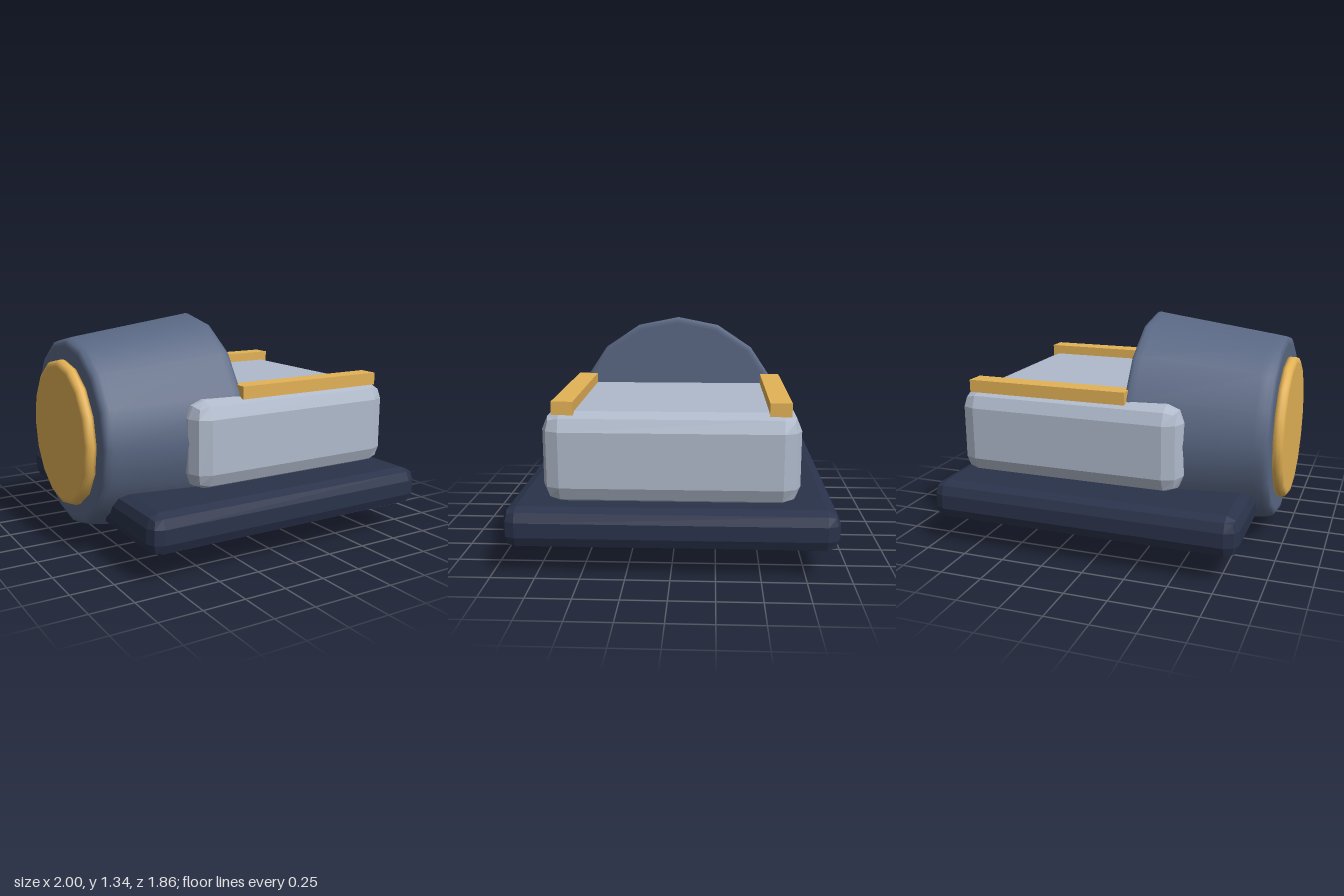
import * as THREE from 'three';
import { RoundedBoxGeometry } from 'three/addons/geometries/RoundedBoxGeometry.js';

const DRUM_Y = 0.67;

function addMesh(group, name, geometry, color, x, y, z, flat = true) {
  const material = new THREE.MeshStandardMaterial({ color, flatShading: flat });
  const mesh = new THREE.Mesh(geometry, material);
  mesh.name = name;
  mesh.position.set(x, y, z);
  group.add(mesh);
  return mesh;
}

// Sixteen-sided turned part lying along x; profile is [radius, x] from left to right
function addTurned(group, name, profile, color) {
  const points = profile.map(([r, x]) => new THREE.Vector2(r, x));
  const mesh = addMesh(group, name, new THREE.LatheGeometry(points, 16), color, 0, DRUM_Y, 0, false);
  mesh.rotation.z = -Math.PI / 2;
}

export function createModel() {
  const model = new THREE.Group();
  model.name = 'model';

  // Bevelled base plate and housing
  addMesh(model, 'basePlate', new RoundedBoxGeometry(1.86, 0.235, 1.86, 1, 0.075), 0x2a334b, 0.07, 0.277, 0);
  addMesh(model, 'housing', new RoundedBoxGeometry(1.385, 0.515, 1.43, 1, 0.1), 0xb0bacb, 0.222, 0.652, 0);

  // Tapered drum with softened rims
  addTurned(model, 'drum', [
    [0, -0.942], [0.51, -0.942], [0.53, -0.942], [0.552, -0.93], [0.562, -0.9], [0.568, -0.86],
    [0.664, -0.17], [0.669, -0.14], [0.664, -0.12], [0.65, -0.114], [0.63, -0.114], [0, -0.114],
  ], 0x5a6884);

  // Round end cap
  addTurned(model, 'endCap', [
    [0, -1], [0.395, -1], [0.41, -1], [0.428, -0.99], [0.435, -0.972], [0.435, -0.958], [0.428, -0.938], [0, -0.93],
  ], 0xe3b256);

  // Pair of rails on top of the housing
  for (const [side, name] of [[1, 'frontRail'], [-1, 'backRail']]) {
    addMesh(model, name, new THREE.BoxGeometry(0.99, 0.075, 0.12), 0xe3b256, 0.363, 0.932, side * 0.595);
  }

  return model;
}
